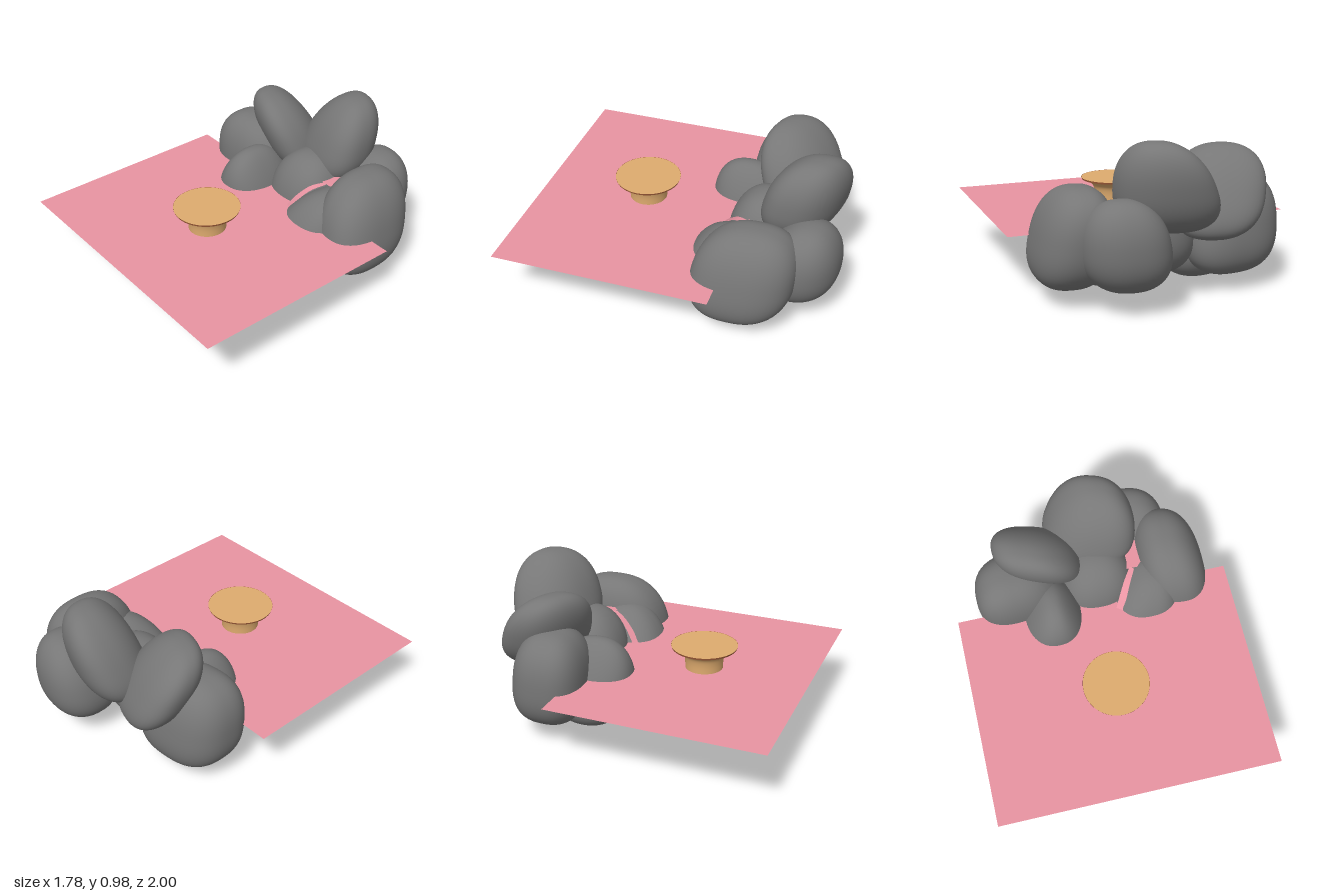
import * as THREE from 'three';
import { mergeVertices } from 'three/addons/utils/BufferGeometryUtils.js';

const mat = (color, side = THREE.FrontSide) =>
  new THREE.MeshStandardMaterial({ color, side });

function add(group, name, geometry, material) {
  const mesh = new THREE.Mesh(geometry, material);
  mesh.name = name;
  group.add(mesh);
  return mesh;
}

// A rounded pebble: a squared-off sphere that leans and tapers with height, turns
// diagonally by skew, and is sized to reach from corner min to corner max.
function boulderGeometry({ min, max, lean, taper, skew = 0, square = 2.3 }) {
  let g = new THREE.SphereGeometry(1, 56, 40);
  g.deleteAttribute('uv');
  g.deleteAttribute('normal');
  g = mergeVertices(g, 1e-4);
  const p = g.attributes.position;
  const v = new THREE.Vector3();
  for (let i = 0; i < p.count; i++) {
    v.fromBufferAttribute(p, i);
    const norm = [v.x, v.y, v.z].reduce((s, c) => s + Math.abs(c) ** square, 0) ** (1 / square);
    v.divideScalar(norm);
    p.setXYZ(i,
      v.x * (1 + taper[0] * v.y) + lean[0] * v.y,
      v.y,
      v.z * (1 + taper[1] * v.y) + lean[1] * v.y + skew * v.x);
  }
  g.computeBoundingBox();
  const low = new THREE.Vector3(...min);
  const size = g.boundingBox.getSize(new THREE.Vector3());
  const ratio = new THREE.Vector3(...max).sub(low).divide(size);
  const start = g.boundingBox.min.clone();
  for (let i = 0; i < p.count; i++) {
    v.fromBufferAttribute(p, i).sub(start).multiply(ratio).add(low);
    p.setXYZ(i, v.x, v.y, v.z);
  }
  g.computeVertexNormals();
  return g;
}

const BOULDERS = {
  boulderFarRight: { min: [-0.745, 0.09, -0.74], max: [-0.15, 0.7, -0.26], lean: [-0.1, 0.08], taper: [-0.1, -0.08], skew: -0.12, square: 2.6 },
  boulderFrontRight: { min: [-0.51, 0.03, -0.56], max: [-0.06, 0.6, -0.045], lean: [0.05, 0.1], taper: [-0.38, -0.08] },
  boulderFrontLeft: { min: [0.02, 0, -0.52], max: [0.555, 0.56, -0.035], lean: [0.36, -0.3], taper: [-0.27, -0.12], square: 2.4 },
  boulderFarLeft: { min: [0.33, 0.085, -0.79], max: [0.78, 0.7, -0.15], lean: [-0.15, -0.16], taper: [-0.1, -0.05], skew: 0.08, square: 2.5 },
  boulderBack: { min: [0.07, 0.12, -1], max: [0.58, 0.67, -0.52], lean: [0.12, -0.18], taper: [-0.1, -0.15], skew: 0.1 },
  boulderCentre: { min: [-0.2, 0.12, -0.7], max: [0.29, 0.645, -0.24], lean: [0.08, -0.1], taper: [-0.1, -0.1] },
  boulderTop: { min: [-0.23, 0.42, -0.97], max: [0.345, 0.975, -0.47], lean: [0.25, -0.28], taper: [-0.22, -0.1], skew: 0.3, square: 2.4 },
  boulderUpperRight: { min: [-0.58, 0.36, -0.865], max: [-0.02, 0.885, -0.36], lean: [-0.33, 0.45], taper: [-0.05, -0.12], skew: 0.38, square: 2.4 },
};

export function createModel() {
  const model = new THREE.Group();
  model.name = 'rockPool';
  const stone = mat(0x777777);
  const water = mat(0xe894a2, THREE.DoubleSide);
  const wood = mat(0xdeab6e, THREE.DoubleSide);

  const rocks = new THREE.Group();
  rocks.name = 'rocks';
  model.add(rocks);
  for (const [name, shape] of Object.entries(BOULDERS)) add(rocks, name, boulderGeometry(shape), stone);

  // Water surface and the small pool behind the rocks
  const surface = add(model, 'waterSurface', new THREE.PlaneGeometry(1.78, 1.35), water);
  surface.rotation.x = -Math.PI / 2;
  surface.position.set(0, 0.39, 0.325);
  const pool = add(model, 'upperPool', new THREE.PlaneGeometry(0.3, 0.33), water);
  pool.rotation.x = -Math.PI / 2;
  pool.position.set(0.29, 0.537, -0.575);

  // Narrow cascade: a ribbon swept between two curved edges
  const curve = (...points) => new THREE.CatmullRomCurve3(points.map((q) => new THREE.Vector3(...q)));
  const edgeA = curve([0.13, 0.385, -0.215], [0.165, 0.455, -0.27], [0.21, 0.515, -0.34], [0.265, 0.54, -0.42]);
  const edgeB = curve([0.175, 0.39, -0.19], [0.205, 0.45, -0.245], [0.245, 0.51, -0.32], [0.29, 0.54, -0.4]);
  const ribbon = new THREE.PlaneGeometry(1, 1, 1, 16);
  const p = ribbon.attributes.position;
  for (let i = 0; i < p.count; i++) {
    const v = (p.getX(i) < 0 ? edgeA : edgeB).getPoint(p.getY(i) + 0.5);
    p.setXYZ(i, v.x, v.y, v.z);
  }
  ribbon.computeVertexNormals();
  add(model, 'cascade', ribbon, water);

  // Round table with a flared foot
  const table = new THREE.Group();
  table.name = 'table';
  table.position.z = 0.325;
  model.add(table);
  const flare = new THREE.SplineCurve([[0.118, 0.38], [0.12, 0.44], [0.132, 0.485], [0.165, 0.515], [0.205, 0.53]]
    .map((q) => new THREE.Vector2(...q))).getPoints(20);
  add(table, 'tableBase', new THREE.LatheGeometry(
    [new THREE.Vector2(0, 0.36), new THREE.Vector2(0.108, 0.36), new THREE.Vector2(0.116, 0.365), ...flare], 64), wood);
  const topDisc = add(table, 'tableTop', new THREE.CircleGeometry(0.207, 64), wood);
  topDisc.rotation.x = -Math.PI / 2;
  topDisc.position.y = 0.538;
  const rim = add(table, 'tableRim', new THREE.CylinderGeometry(0.208, 0.204, 0.012, 64, 1, true), mat(0xa5603c, THREE.DoubleSide));
  rim.position.y = 0.533;

  return model;
}
